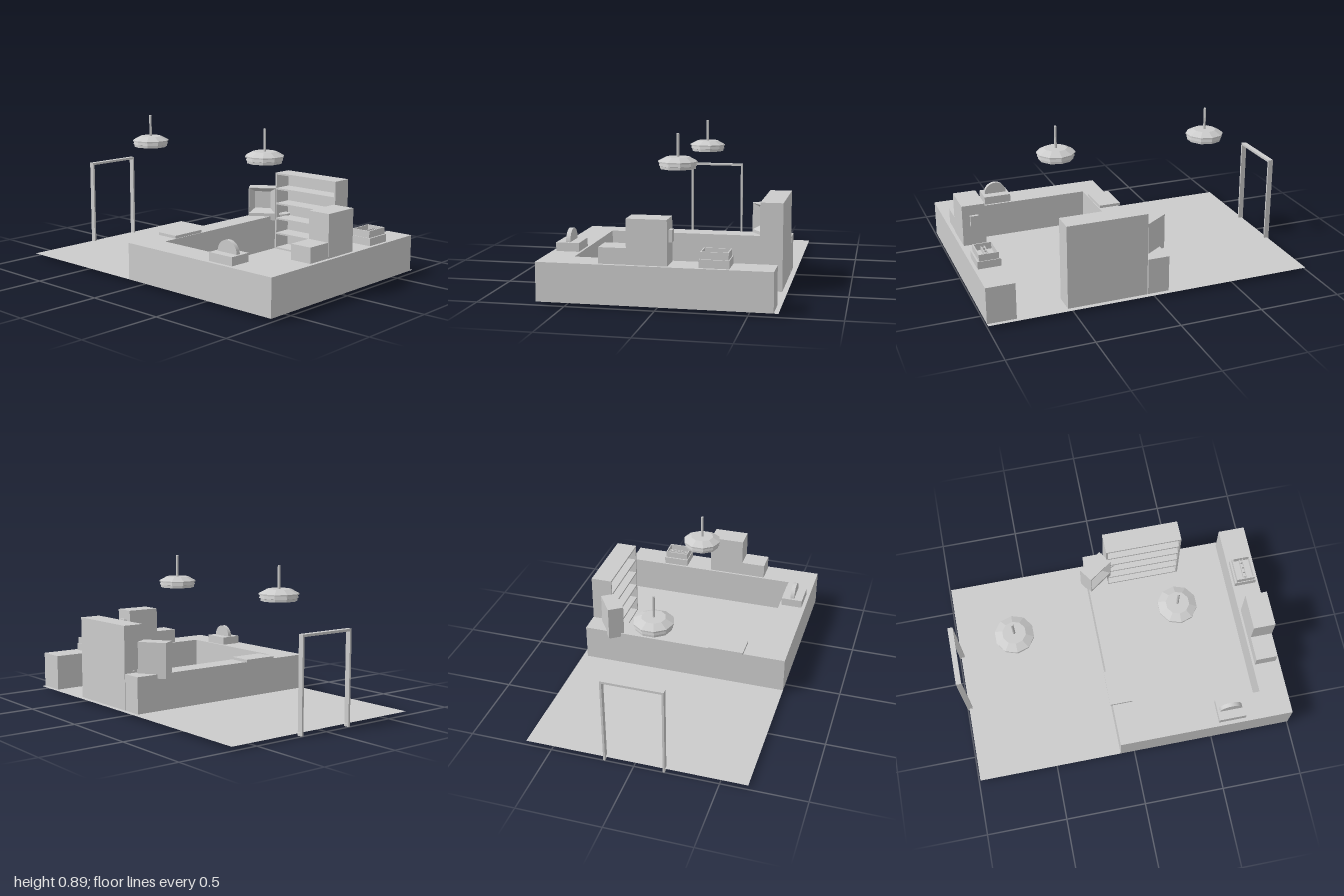
import * as THREE from 'three';

export function createModel() {
  const model = new THREE.Group();
  const grey = new THREE.MeshStandardMaterial({ color: 0xcccccc, flatShading: true, side: THREE.DoubleSide });
  grey.name = 'plainGrey';

  const add = (name, geometry, parent = model) => {
    const mesh = new THREE.Mesh(geometry, grey);
    mesh.name = name;
    parent.add(mesh);
    return mesh;
  };
  // Box given by its limits on each axis
  const box = (name, x0, x1, y0, y1, z0, z1, parent = model) => {
    const mesh = add(name, new THREE.BoxGeometry(x1 - x0, y1 - y0, z1 - z0), parent);
    mesh.position.set((x0 + x1) / 2, (y0 + y1) / 2, (z0 + z1) / 2);
    return mesh;
  };
  const group = (name) => {
    const g = new THREE.Group();
    g.name = name;
    model.add(g);
    return g;
  };
  const FLOOR = 0.02, TOP = 0.24;

  // Floor sheet
  const floor = add('floor', new THREE.PlaneGeometry(1.99, 1.32).rotateX(-Math.PI / 2));
  floor.position.set(0.005, FLOOR, 0);

  // U-shaped counter, open at the back
  const outline = [[-0.09, -0.63], [0.04, -0.63], [0.04, 0.49], [0.83, 0.49],
    [0.83, -0.635], [1, -0.635], [1, 0.66], [-0.09, 0.66]];
  const plan = new THREE.Shape(outline.map(([x, z]) => new THREE.Vector2(x, -z)));
  const counter = add('counter', new THREE.ExtrudeGeometry(plan, { depth: TOP - FLOOR, bevelEnabled: false }).rotateX(-Math.PI / 2));
  counter.position.y = FLOOR;

  // Back shelf unit
  const shelf = group('shelfUnit');
  box('shelfBack', 0.045, 0.53, FLOOR, 0.525, -0.63, -0.618, shelf);
  for (const x of [0.045, 0.518]) box('shelfSide', x, x + 0.012, FLOOR, 0.525, -0.618, -0.5, shelf);
  for (let i = 0; i < 6; i++) {
    const y = FLOOR + i * 0.0988;
    box('shelfBoard', 0.057, 0.518, y, y + 0.011, -0.618, -0.5, shelf);
  }

  // Turned cabinet with a sloping recess in its front
  const display = group('display');
  display.position.set(-0.033, 0, -0.468);
  display.rotation.y = 0.607;
  const W = 0.088, D = 0.049, Y0 = 0.215, Y1 = 0.428;
  box('displayBack', -W, W, Y0, Y1, -D, -D + 0.008, display);
  for (const s of [-1, 1]) box('displaySide', s * W - 0.002 * (s + 1), s * W - 0.002 * (s - 1), Y0, Y1, -D, D, display);
  box('displayTop', -W, W, Y1 - 0.003, Y1, -D, D, display);
  box('displayBase', -W, W, Y0, 0.26, -D, D, display);
  const rim = (w, y0, y1, z) => [[-w, y0, z], [w, y0, z], [w, y1, z], [-w, y1, z]];
  const front = rim(W - 0.003, 0.26, Y1 - 0.003, D), rear = rim(0.05, 0.288, 0.398, D - 0.04);
  const corners = [];
  const quad = (a, b, c, d) => corners.push(...a, ...b, ...c, ...a, ...c, ...d);
  quad(...rear);
  for (let i = 0; i < 4; i++) {
    const j = (i + 1) % 4;
    quad(front[i], front[j], rear[j], rear[i]);
  }
  const recess = new THREE.BufferGeometry();
  recess.setAttribute('position', new THREE.Float32BufferAttribute(corners, 3));
  recess.computeVertexNormals();
  add('displayRecess', recess, display);

  // Round stand with a short arm beside the cabinet
  const disc = add('standDisc', new THREE.CylinderGeometry(0.038, 0.038, 0.012, 16));
  disc.position.set(0.077, 0.249, -0.556);
  const arm = box('standArm', 0.08, 0.11, 0.243, 0.255, -0.012, 0.012, display);
  arm.position.z = -0.01;

  // Slab on the left arm of the counter
  box('counterSlab', -0.105, 0.035, TOP, 0.257, 0.18, 0.4);

  // Stepped machine on the right arm
  const machine = group('machine');
  box('machineTower', 0.843, 0.98, TOP, 0.49, -0.065, 0.158, machine);
  box('machineStep', 0.843, 0.977, TOP, 0.33, 0.158, 0.312, machine);
  box('machineHandle', 0.885, 0.935, 0.362, 0.428, -0.084, -0.065, machine);

  // Open tray with compartments
  const tray = group('tray');
  box('trayBase', 0.843, 0.98, TOP, 0.285, -0.398, -0.235, tray);
  for (const x of [0.853, 0.963]) box('traySide', x, x + 0.007, 0.285, 0.325, -0.393, -0.24, tray);
  for (const z of [-0.393, -0.247]) box('trayEnd', 0.86, 0.963, 0.285, 0.325, z, z + 0.007, tray);
  for (const x of [0.9, 0.92]) box('trayDivider', x, x + 0.004, 0.285, 0.31, -0.386, -0.247, tray);
  for (let i = 0; i < 4; i++) {
    const z = -0.37 + i * 0.033;
    box('trayPeg', 0.904, 0.92, 0.285, 0.305, z, z + 0.008, tray);
  }

  // Low block with an upright half disc on the front arm
  const dial = group('dialStand');
  box('dialBlock', 0.535, 0.705, TOP, 0.29, 0.503, 0.637, dial);
  const half = new THREE.Shape().absarc(0, 0, 0.07, 0, Math.PI);
  half.closePath();
  const plate = add('dialPlate', new THREE.ExtrudeGeometry(half, { depth: 0.025, bevelEnabled: false, curveSegments: 14 }), dial);
  plate.position.set(0.62, 0.29, 0.558);

  // Door frame
  const door = group('doorFrame');
  for (const s of [-1, 1]) box('doorPost', -1, -0.968, 0, 0.555, s * 0.177 - 0.006, s * 0.177 + 0.006, door);
  box('doorLintel', -1, -0.968, 0.541, 0.555, -0.171, 0.171, door);

  // Hanging lamps: ten-sided shade, open underneath
  const profile = [[0, 0.755], [0.07, 0.755], [0.117, 0.73], [0.117, 0.722], [0.108, 0.722],
    [0.113, 0.704], [0.106, 0.702], [0.106, 0.687], [0.095, 0.687], [0.095, 0.72]]
    .map(([r, y]) => new THREE.Vector2(r, y));
  for (const x of [-0.6, 0.38]) {
    const lamp = group('lamp');
    lamp.position.x = x;
    add('lampShade', new THREE.LatheGeometry(profile, 10), lamp);
    add('lampRod', new THREE.CylinderGeometry(0.008, 0.008, 0.14, 8), lamp).position.y = 0.82;
  }
  return model;
}
